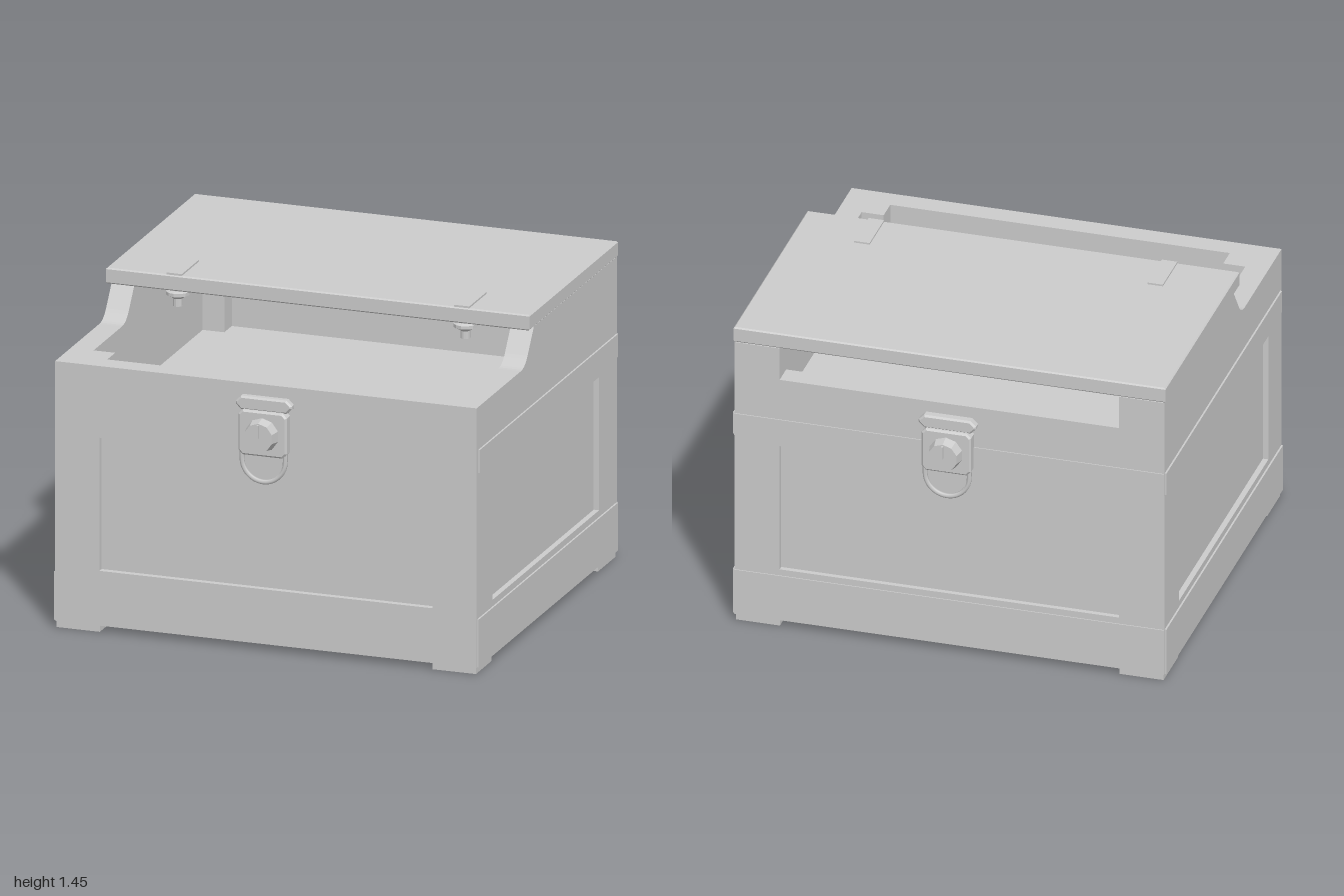
import * as THREE from 'three';

const grey = new THREE.MeshStandardMaterial({ color: 0xcccccc });
grey.name = 'grey';

export function createModel() {
  const root = new THREE.Group();
  root.name = 'chest';

  const add = (geometry, name, parent = root) => {
    const mesh = new THREE.Mesh(geometry, grey);
    mesh.name = name;
    parent.add(mesh);
    return mesh;
  };
  // box given by its two opposite corners
  const box = (name, x0, x1, y0, y1, z0, z1, parent = root) => {
    const mesh = add(new THREE.BoxGeometry(x1 - x0, y1 - y0, z1 - z0), name, parent);
    mesh.position.set((x0 + x1) / 2, (y0 + y1) / 2, (z0 + z1) / 2);
    return mesh;
  };
  const rectHole = (x0, x1, y0, y1) => new THREE.Path([
    new THREE.Vector2(x0, y0), new THREE.Vector2(x0, y1),
    new THREE.Vector2(x1, y1), new THREE.Vector2(x1, y0),
  ]);
  const extrude = (shape, depth, bevel = 0) => new THREE.ExtrudeGeometry(shape, {
    depth, bevelEnabled: bevel > 0, bevelSize: bevel, bevelThickness: bevel,
    bevelOffset: -bevel, bevelSegments: 1, curveSegments: 6,
  });

  // solid core: recessed panels outside, tray floor on top
  box('core', -0.95, 0.95, 0.032, 0.89, -0.862, 0.862);

  // front and back walls framing a recessed panel
  const endShape = new THREE.Shape([
    new THREE.Vector2(-0.87, 0.03), new THREE.Vector2(0.87, 0.03),
    new THREE.Vector2(0.87, 1.215), new THREE.Vector2(-0.87, 1.215),
  ]);
  endShape.holes.push(rectHole(-0.77, 0.77, 0.28, 0.888));
  const endWall = extrude(endShape, 0.1);
  add(endWall, 'frontWall').position.z = 0.79;
  add(endWall, 'backWall').position.z = -0.885;

  // side walls, raised toward the back with a curved step; shape x is model z
  const sideShape = new THREE.Shape();
  sideShape.moveTo(-0.885, 0.03);
  sideShape.lineTo(0.89, 0.03);
  sideShape.lineTo(0.89, 1.215);
  sideShape.lineTo(0.33, 1.215);
  sideShape.quadraticCurveTo(0.28, 1.215, 0.245, 1.26);
  sideShape.lineTo(0.165, 1.37);
  sideShape.lineTo(-0.885, 1.37);
  sideShape.closePath();
  sideShape.holes.push(rectHole(-0.66, 0.69, 0.28, 0.888));
  const sideWall = extrude(sideShape, 0.105);
  sideWall.rotateY(-Math.PI / 2);

  for (const s of [-1, 1]) {
    const side = s > 0 ? 'left' : 'right';
    const span = (a, b) => (s > 0 ? [a, b] : [-b, -a]);
    add(sideWall, side + 'Wall').position.x = s > 0 ? 0.975 : -0.87;

    // side trim: skirt and middle rail
    box(side + 'Skirt', ...span(0.97, 0.983), 0.032, 0.25, -0.88, 0.885);
    box(side + 'Rail', ...span(0.97, 0.983), 0.915, 1.02, -0.88, 0.87);

    // inner corner posts and the feet
    box(side + 'FrontPost', ...span(0.77, 0.87), 0.88, 1.215, 0.69, 0.79);
    box(side + 'BackPost', ...span(0.77, 0.87), 0.88, 1.37, -0.885, -0.69);
    box(side + 'FrontFoot', ...span(0.77, 0.97), 0, 0.035, 0.69, 0.885);
    box(side + 'BackFoot', ...span(0.77, 0.97), 0, 0.035, -0.88, -0.66);

    // lid strap with a catch stud below
    const x = s * 0.665;
    box(side + 'Strap', x - 0.035, x + 0.035, 1.435, 1.45, 0.01, 0.23);
    const stud = new THREE.LatheGeometry([
      [0, 0], [0.022, 0], [0.022, 0.035], [0.035, 0.045], [0.053, 0.053],
      [0.053, 0.068], [0.035, 0.075], [0.035, 0.09],
    ].map(([r, y]) => new THREE.Vector2(r, y)), 12).toNonIndexed();
    stud.computeVertexNormals();
    add(stud, side + 'Stud').position.set(x, 1.29, 0.185);
  }

  // back trim
  box('backRail', -0.975, 0.975, 0.915, 1.02, -0.89, -0.88);
  box('backSkirt', -0.975, 0.975, 0.032, 0.25, -0.89, -0.88);

  // lid slab with a small bevel
  const lidShape = new THREE.Shape([
    new THREE.Vector2(-0.98, -0.235), new THREE.Vector2(0.98, -0.235),
    new THREE.Vector2(0.98, 0.885), new THREE.Vector2(-0.98, 0.885),
  ]);
  const lid = extrude(lidShape, 0.06, 0.006);
  lid.rotateX(-Math.PI / 2);
  add(lid, 'lid').position.y = 1.376;

  // latch on the front and the back
  const plateShape = (w, y0, y1, c) => new THREE.Shape([
    [-w + c, y0], [w - c, y0], [w, y0 + c], [w, y1 - c],
    [w - c, y1], [-w + c, y1], [-w, y1 - c], [-w, y0 + c],
  ].map(([x, y]) => new THREE.Vector2(x, y)));
  const ringPath = new THREE.CurvePath();
  const arc = [];
  for (let i = 0; i <= 12; i++) {
    const a = Math.PI + (i / 12) * Math.PI;
    arc.push(new THREE.Vector3(Math.cos(a) * 0.1, 0.88 + Math.sin(a) * 0.1, 0.918));
  }
  const ringCurve = new THREE.CatmullRomCurve3([
    new THREE.Vector3(-0.1, 0.93, 0.918), ...arc, new THREE.Vector3(0.1, 0.93, 0.918),
  ]);

  for (const name of ['frontLatch', 'backLatch']) {
    const latch = new THREE.Group();
    latch.name = name;
    add(extrude(plateShape(0.112, 0.9, 1.105, 0.02), 0.045, 0.008), 'latchPlate', latch).position.z = 0.885;
    add(extrude(plateShape(0.13, 1.1, 1.162, 0.025), 0.03, 0.008), 'latchCap', latch).position.z = 0.885;
    const knob = new THREE.CylinderGeometry(0.066, 0.078, 0.055, 10).toNonIndexed();
    knob.computeVertexNormals();
    knob.rotateX(Math.PI / 2);
    add(knob, 'knob', latch).position.set(0, 1.0, 0.96);
    box('keySlot', -0.004, 0.004, 1.0, 1.06, 0.98, 1.0, latch);
    add(new THREE.TubeGeometry(ringCurve, 32, 0.011, 6), 'pullRing', latch);
    if (name === 'backLatch') latch.rotation.y = Math.PI;
    root.add(latch);
  }

  return root;
}
